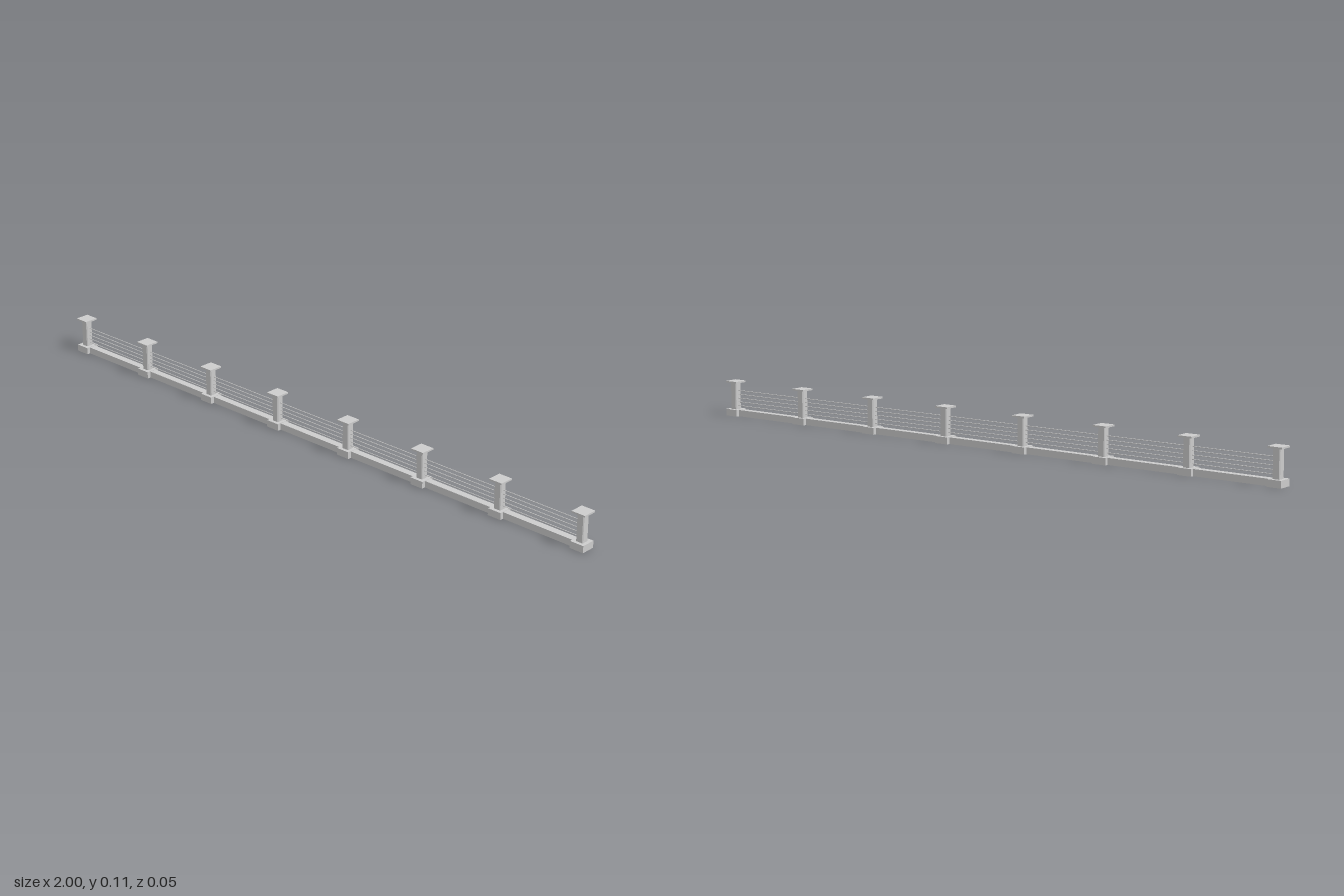
import * as THREE from 'three';

export function createModel() {
  const model = new THREE.Group();
  model.name = 'fence';
  const material = new THREE.MeshStandardMaterial({ color: 0xcccccc, flatShading: true });

  const POSTS = 8, END = 0.978, STEP = (2 * END) / (POSTS - 1);
  const DRIFT = -0.002; // the line of the fence shifts slightly back towards +x

  function add(parent, name, geometry, y) {
    const mesh = new THREE.Mesh(geometry, material);
    mesh.name = name;
    mesh.position.y = y;
    parent.add(mesh);
  }

  // Box placed by its bottom height
  function box(parent, name, w, h, d, y) {
    add(parent, name, new THREE.BoxGeometry(w, h, d), y + h / 2);
  }

  function section(name, x) {
    const group = new THREE.Group();
    group.name = name;
    group.position.set(x, 0, x * DRIFT);
    model.add(group);
    return group;
  }

  // Square shaft with narrow chamfered corners
  const r = 0.0115, c = 0.009;
  const outline = new THREE.Shape([
    [r, -c], [r, c], [c, r], [-c, r], [-r, c], [-r, -c], [-c, -r], [c, -r],
  ].map(([x, y]) => new THREE.Vector2(x, y)));
  const shaft = new THREE.ExtrudeGeometry(outline, { depth: 0.084, bevelEnabled: false });
  shaft.rotateX(-Math.PI / 2);

  // Posts: footing block, chamfered shaft and thin cap
  for (let i = 0; i < POSTS; i++) {
    const post = section('post', -END + i * STEP);
    box(post, 'footing', 0.044, 0.021, 0.044, 0);
    add(post, 'shaft', shaft, 0.021);
    box(post, 'cap', 0.044, 0.005, 0.044, 0.105);
  }

  // Spans between posts: low kerb and five thin rails
  const rail = new THREE.CylinderGeometry(0.0013, 0.0013, STEP - 0.02, 8);
  rail.rotateZ(Math.PI / 2);
  for (let i = 0; i < POSTS - 1; i++) {
    const span = section('span', -END + (i + 0.5) * STEP);
    box(span, 'kerb', STEP - 0.044, 0.02, 0.022, 0);
    for (let k = 0; k < 5; k++) add(span, 'rail', rail, 0.032 + k * 0.012);
  }

  return model;
}
